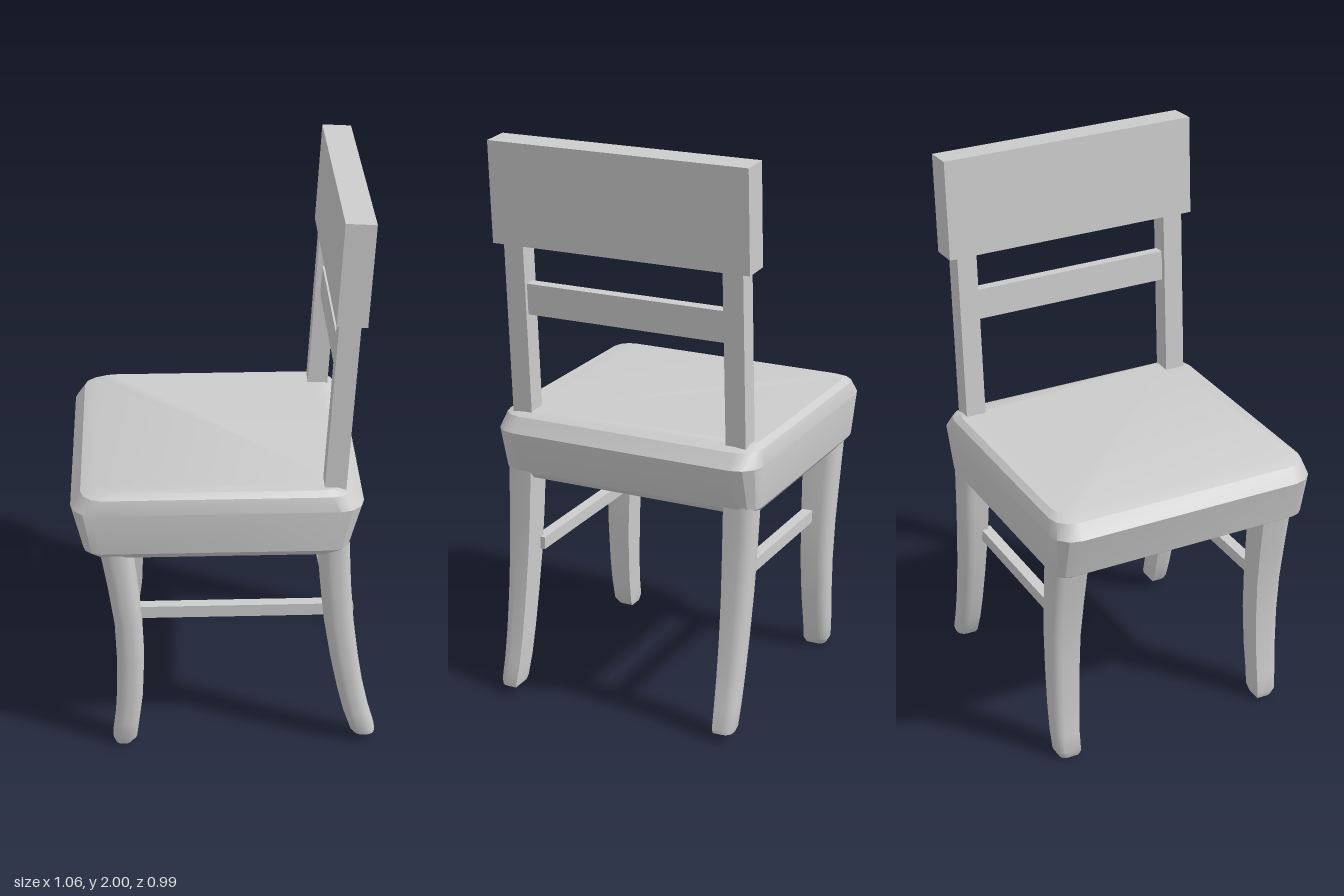
import * as THREE from 'three';
import { toCreasedNormals } from 'three/addons/utils/BufferGeometryUtils.js';

const material = new THREE.MeshStandardMaterial({ color: 0xcccccc });

// Closed solid through rings of [x, y, z] points, listed from bottom to top
function loft(name, rings, crease = 0.6) {
  const n = rings[0].length;
  const pos = rings.flat(2);
  const index = [];
  for (let i = 0; i < rings.length - 1; i++) {
    for (let j = 0; j < n; j++) {
      const a = i * n + j, b = i * n + (j + 1) % n;
      index.push(a, a + n, b, b, a + n, b + n);
    }
  }
  const last = (rings.length - 1) * n;
  for (let j = 1; j < n - 1; j++) {
    index.push(0, j, j + 1, last, last + j + 1, last + j);
  }
  const geometry = new THREE.BufferGeometry();
  geometry.setAttribute('position', new THREE.Float32BufferAttribute(pos, 3));
  geometry.setIndex(index);
  const mesh = new THREE.Mesh(toCreasedNormals(geometry, crease), material);
  mesh.name = name;
  return mesh;
}

// Rectangle ring with a corner radius for each of its four corners
function ring(y, x0, x1, z0, z1, radii = [0, 0, 0, 0], steps = 3) {
  const corners = [[x1, z1, -1, -1], [x0, z1, 1, -1], [x0, z0, 1, 1], [x1, z0, -1, 1]];
  const points = [];
  corners.forEach(([x, z, sx, sz], c) => {
    const r = radii[c];
    if (!r) return points.push([x, y, z]);
    for (let k = 0; k <= steps; k++) {
      const t = (c + k / steps) * Math.PI / 2;
      points.push([x + sx * r + r * Math.cos(t), y, z + sz * r + r * Math.sin(t)]);
    }
  });
  return points;
}

// Leg curved in x, with its outer corners rounded; sections are [y, x0, x1, inner z, outer z]
function leg(name, sections, side) {
  return loft(name, sections.map(([y, x0, x1, zi, zo]) => {
    const r = (x1 - x0) * 0.4;
    return side > 0
      ? ring(y, x0, x1, zi, zo, [r, r, 0, 0], 4)
      : ring(y, x0, x1, -zo, -zi, [0, 0, r, r], 4);
  }));
}

function box(name, w, h, d, x, y, z) {
  const mesh = new THREE.Mesh(new THREE.BoxGeometry(w, h, d), material);
  mesh.name = name;
  mesh.position.set(x, y, z);
  return mesh;
}

export function createModel() {
  const chair = new THREE.Group();
  chair.name = 'chair';

  // Cushioned seat: flared sides, rounded corners and bevelled rims
  const seat = [
    [0.79, -0.46, 0.39, 0.465, 0.05],
    [0.815, -0.495, 0.415, 0.485, 0.06],
    [0.97, -0.535, 0.462, 0.497, 0.085],
    [1.02, -0.5, 0.425, 0.483, 0.075],
    [1.037, -0.455, 0.385, 0.462, 0.06],
  ];
  chair.add(loft('seat', seat.map(([y, x0, x1, z, r]) => ring(y, x0, x1, -z, z, [r, r, r, r], 3)), 0.5));

  // Legs, stretchers and back posts on both sides
  const frontLeg = [
    [0, -0.4, -0.345, 0.37, 0.435],
    [0.025, -0.41, -0.325, 0.365, 0.45],
    [0.1, -0.4, -0.315, 0.365, 0.455],
    [0.2, -0.393, -0.302, 0.362, 0.457],
    [0.35, -0.39, -0.295, 0.358, 0.46],
    [0.5, -0.395, -0.3, 0.355, 0.465],
    [0.65, -0.415, -0.315, 0.35, 0.47],
    [0.83, -0.445, -0.335, 0.345, 0.475],
  ];
  const rearLeg = [
    [0.03, 0.45, 0.525, 0.388, 0.452],
    [0.045, 0.438, 0.525, 0.385, 0.457],
    [0.12, 0.412, 0.503, 0.382, 0.458],
    [0.22, 0.387, 0.48, 0.38, 0.46],
    [0.35, 0.36, 0.458, 0.378, 0.463],
    [0.5, 0.335, 0.438, 0.375, 0.467],
    [0.65, 0.32, 0.425, 0.372, 0.471],
    [0.83, 0.305, 0.415, 0.37, 0.475],
  ];
  for (const side of [1, -1]) {
    const label = side > 0 ? 'Left' : 'Right';
    chair.add(leg('frontLeg' + label, frontLeg, side));
    chair.add(leg('rearLeg' + label, rearLeg, side));
    chair.add(box('stretcher' + label, 0.68, 0.045, 0.04, 0.01, 0.527, side * 0.377));
    const z0 = Math.min(side * 0.37, side * 0.443), z1 = Math.max(side * 0.37, side * 0.443);
    chair.add(loft('backPost' + label, [
      ring(1.0, 0.323, 0.396, z0, z1),
      ring(1.7, 0.362, 0.435, z0, z1),
    ]));
  }

  // Leaning middle rail and top panel
  const lean = -0.055;
  const rail = box('backRail', 0.04, 0.11, 0.75, 0.387, 1.445, 0);
  const panel = box('topPanel', 0.102, 0.356, 0.95, 0.408, 1.819, 0);
  rail.rotation.z = panel.rotation.z = lean;
  chair.add(rail, panel);

  return chair;
}
